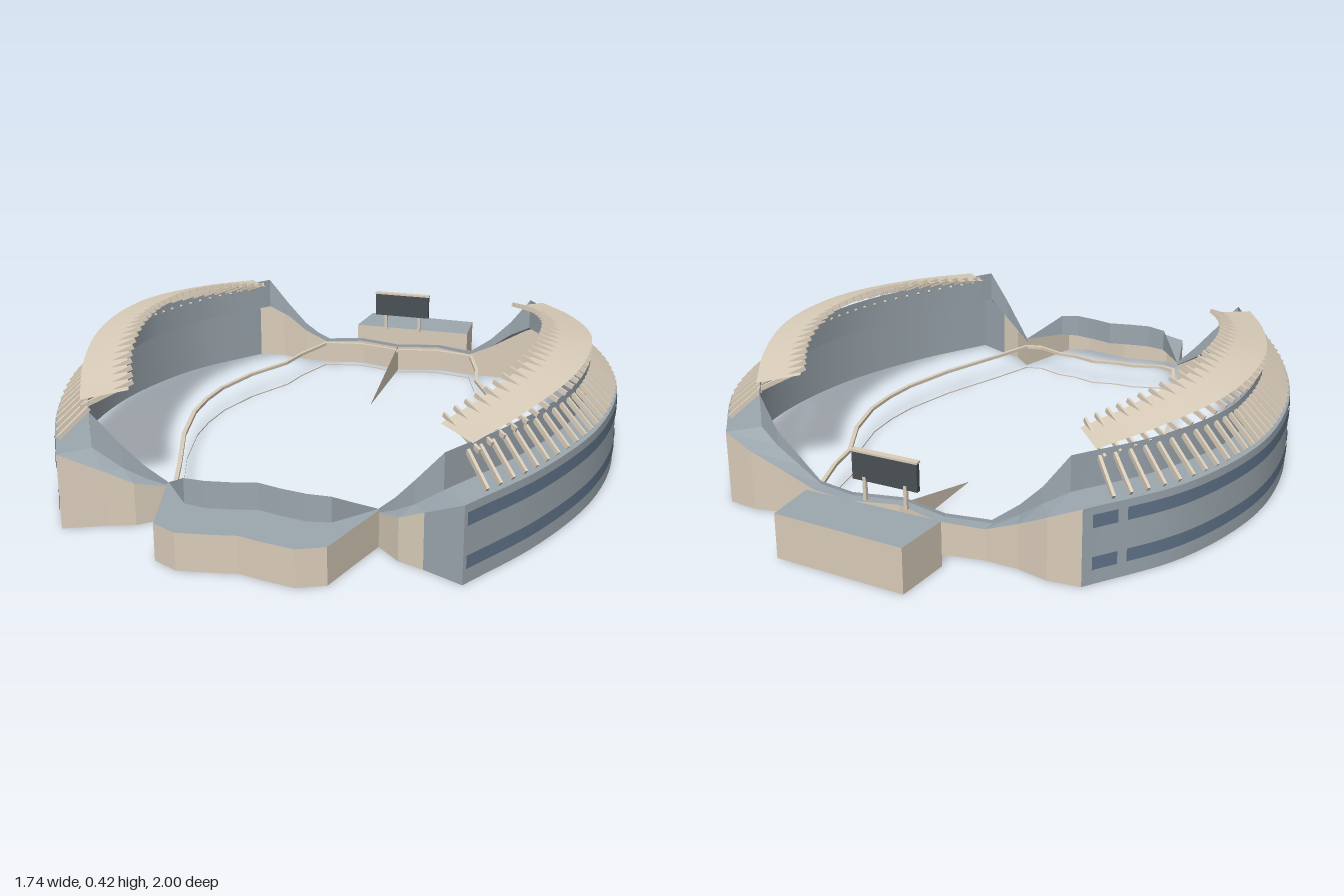
import * as THREE from 'three';

const V = (x, y, z) => new THREE.Vector3(x, y, z);
const material = (name, color) => {
  const m = new THREE.MeshStandardMaterial({ color, side: THREE.DoubleSide });
  m.name = name;
  return m;
};

export function createModel() {
  const slate = material('slate cladding', 0x9ca7af);
  const beige = material('beige concrete', 0xdacdba);
  const glass = material('window band', 0x61758b);
  const dark = material('scoreboard face', 0x4a5056);
  const model = new THREE.Group();
  model.name = 'stadium';

  const add = (name, geometry, mat, parent = model) => {
    const mesh = new THREE.Mesh(geometry, mat);
    mesh.name = name;
    parent.add(mesh);
    return mesh;
  };

  // Sheet between two rows of points
  const sheet = (a, b, smooth = false) => {
    const pos = [], index = [];
    a.forEach((p, i) => {
      pos.push(...p.toArray(), ...b[i].toArray());
      if (i) {
        const k = 2 * i;
        index.push(k - 2, k, k - 1, k - 1, k, k + 1);
      }
    });
    let g = new THREE.BufferGeometry();
    g.setAttribute('position', new THREE.Float32BufferAttribute(pos, 3));
    g.setIndex(index);
    if (!smooth) g = g.toNonIndexed();
    g.computeVertexNormals();
    return g;
  };
  const atHeight = (pts, y) => pts.map(p => V(p.x, y, p.z));
  const flip = (pts, s) => pts.map(p => V(p.x * s, p.y, p.z));
  const curve = (pts) => new THREE.CatmullRomCurve3(pts.map(([x, z]) => V(x, 0, z)));

  // Ledge running in from the outer wall top, then an upright parapet to the crest
  const ledgeAndParapet = (name, edge, crest, smooth, parent) => {
    const base = crest.map((p, i) => V(p.x, edge[i].y, p.z));
    add(name + 'Ledge', sheet(edge, base, smooth), slate, parent);
    add(name + 'Parapet', sheet(base, crest, smooth), slate, parent);
  };

  // Slim beam from point a to point b
  const beam = (name, a, b, w, h, mat, parent) => {
    const m = add(name, new THREE.BoxGeometry(w, h, a.distanceTo(b)), mat, parent);
    m.position.copy(a).lerp(b, 0.5);
    m.lookAt(b);
  };

  // Plan curves of one stand, from front to back
  const outer = curve([[0.57, 0.865], [0.72, 0.59], [0.83, 0.28], [0.865, 0], [0.845, -0.22], [0.75, -0.5], [0.57, -0.76]]);
  const inner = curve([[0.5, 0.79], [0.64, 0.53], [0.745, 0.25], [0.775, 0], [0.76, -0.2], [0.66, -0.45], [0.5, -0.68]]);
  const roofOut = curve([[0.56, 0.73], [0.67, 0.5], [0.755, 0.24], [0.78, 0.02], [0.76, -0.2], [0.67, -0.43], [0.55, -0.63]]);
  const roofIn = curve([[0.455, 0.635], [0.55, 0.44], [0.615, 0.22], [0.635, 0.03], [0.62, -0.18], [0.55, -0.38], [0.46, -0.53]]);
  const arch = t => Math.sin(Math.PI * t);
  const roofOutY = t => 0.338 + 0.04 * arch(t);
  const roofInY = t => 0.345 + 0.06 * arch(t);
  const sample = (c, n, y, t0 = 0, t1 = 1) => Array.from({ length: n + 1 }, (_, i) => {
    const t = t0 + (t1 - t0) * i / n, p = c.getPoint(t);
    p.y = typeof y === 'function' ? y(t) : y;
    return p;
  });

  for (const s of [1, -1]) {
    const stand = new THREE.Group();
    stand.name = s > 0 ? 'leftStand' : 'rightStand';
    model.add(stand);
    const row = (...args) => flip(sample(...args), s);

    add('outerWall', sheet(row(outer, 40, 0), row(outer, 40, 0.225), true), slate, stand);
    ledgeAndParapet('upperTier', row(outer, 40, 0.225), row(inner, 40, 0.33), true, stand);
    add('roofCanopy', sheet(row(roofOut, 36, roofOutY), row(roofIn, 36, roofInY), true), beige, stand);

    // Two window bands, each broken near the back
    for (const y of [0.043, 0.165]) {
      for (const [t0, t1] of [[0.005, 0.93], [0.945, 0.985]]) {
        const push = pts => pts.map(p => V(p.x + 0.0025 * s, p.y, p.z));
        add('windowBand', sheet(push(row(outer, 40, y, t0, t1)), push(row(outer, 40, y + 0.038, t0, t1)), true), glass, stand);
      }
    }

    // Slanted fins from the ledge edge up to the parapet
    for (let i = 0; i < 33; i++) {
      const t = 0.05 + 0.9 * i / 32;
      const [a, b] = flip([outer.getPoint(t), inner.getPoint(t)], s);
      a.y = 0.228;
      b.y = 0.31;
      beam('tierFin', a.clone().lerp(b, 0.08), b, 0.009, 0.014, beige, stand);
    }

    // Ribs under the canopy whose tips rise past its inner edge
    for (let i = 0; i < 28; i++) {
      const t = 0.02 + 0.96 * i / 27;
      const [a, b] = flip([roofOut.getPoint(t), roofIn.getPoint(t)], s);
      a.y = roofOutY(t) - 0.035;
      b.y = roofInY(t) + 0.006;
      beam('canopyRib', a, a.clone().lerp(b, 1.1), 0.008, 0.014, beige, stand);
    }

    // Front return wall stepping down to the entrance
    const top = flip([V(0.57, 0.225, 0.865), V(0.455, 0.165, 0.812), V(0.38, 0.128, 0.785), V(0.31, 0.1, 0.72)], s);
    const crest = flip([V(0.5, 0.33, 0.79), V(0.42, 0.235, 0.77), V(0.36, 0.165, 0.745), V(0.305, 0.11, 0.715)], s);
    const foot = atHeight(top, 0);
    add('frontReturnEnd', sheet(foot.slice(0, 2), top.slice(0, 2)), s > 0 ? slate : beige, stand);
    add('frontReturnWall', sheet(foot.slice(1), top.slice(1)), beige, stand);
    ledgeAndParapet('frontReturn', top, crest, false, stand);
  }

  const mirrored = half => [...flip(half, -1), ...half.slice(0, -1).reverse()];

  // Front entrance block: wavy wall, flat ledge and parapet
  const blockOuter = mirrored([V(0.31, 0.11, 0.72), V(0.275, 0.11, 0.84), V(0.24, 0.11, 0.965),
    V(0.165, 0.11, 1), V(0.08, 0.11, 0.987), V(0, 0.11, 0.97)]);
  const blockCrest = mirrored([V(0.305, 0.112, 0.715), V(0.255, 0.15, 0.775), V(0.21, 0.185, 0.828),
    V(0.145, 0.19, 0.84), V(0.07, 0.19, 0.828), V(0, 0.19, 0.81)]);
  add('entranceWall', sheet(atHeight(blockOuter, 0), blockOuter), beige);
  ledgeAndParapet('entrance', blockOuter, blockCrest, false, model);

  // Back wall, dipping between the stands
  const backOuter = mirrored([V(0.57, 0.225, -0.76), V(0.475, 0.185, -0.77), V(0.38, 0.135, -0.748),
    V(0.28, 0.095, -0.745), V(0.15, 0.1, -0.77), V(0, 0.1, -0.73)]);
  const backCrest = mirrored([V(0.5, 0.33, -0.68), V(0.43, 0.235, -0.7), V(0.36, 0.165, -0.695),
    V(0.28, 0.105, -0.705), V(0.15, 0.11, -0.735), V(0, 0.11, -0.7)]);
  add('backWall', sheet(atHeight(backOuter, 0), backOuter), beige);
  ledgeAndParapet('back', backOuter, backCrest, false, model);

  // Upright wedge on the centre line behind the field
  add('centreWedge', sheet([V(0, 0, -0.33), V(0, 0, -0.72)], [V(0, 0.002, -0.33), V(0, 0.1, -0.72)]), beige);

  // Parapet around the field and its line at ground level
  const half = [[0.0, -0.69], [0.07, -0.71], [0.15, -0.725], [0.28, -0.7], [0.33, -0.55], [0.35, -0.44], [0.43, -0.28],
    [0.475, -0.12], [0.483, 0], [0.475, 0.12], [0.43, 0.31], [0.345, 0.54], [0.295, 0.69],
    [0.24, 0.705], [0.15, 0.672], [0.08, 0.672], [0, 0.65]].map(([x, z]) => V(x, 0.09, z));
  const ring = [...half, ...flip(half.slice(0, -1), -1).reverse()];
  const grown = ring.map(p => V(p.x * 1.028, p.y, p.z * 1.02));
  add('fieldParapetTop', sheet(ring, grown), beige);
  add('fieldParapetFace', sheet(ring, atHeight(ring, 0.08)), beige);
  add('fieldGroundLine', sheet(atHeight(ring, 0.001), atHeight(ring, 0.005)), beige);

  // Service building behind the stadium
  const plan = [V(-0.19, 0, -0.825), V(0.245, 0, -0.825), V(0.235, 0, -0.985), V(-0.175, 0, -1)];
  const eaves = atHeight(plan, 0.135);
  add('serviceWalls', sheet([...plan, plan[0]], [...eaves, eaves[0]]), beige);
  add('serviceFloor', sheet([plan[0], plan[1]], [plan[3], plan[2]]), beige);
  add('serviceRoof', sheet([eaves[0], eaves[1]], [eaves[3], eaves[2]]), slate);

  // Scoreboard on two legs
  const board = new THREE.Group();
  board.name = 'scoreboard';
  board.position.set(-0.005, 0, -0.8);
  model.add(board);
  add('scorePanel', new THREE.BoxGeometry(0.206, 0.084, 0.014), dark, board).position.y = 0.235;
  add('scoreCap', new THREE.BoxGeometry(0.21, 0.006, 0.02), beige, board).position.y = 0.279;
  for (const s of [1, -1]) {
    add('scoreLeg', new THREE.BoxGeometry(0.01, 0.07, 0.01), beige, board).position.set(s * 0.065, 0.17, -0.004);
  }

  return model;
}
